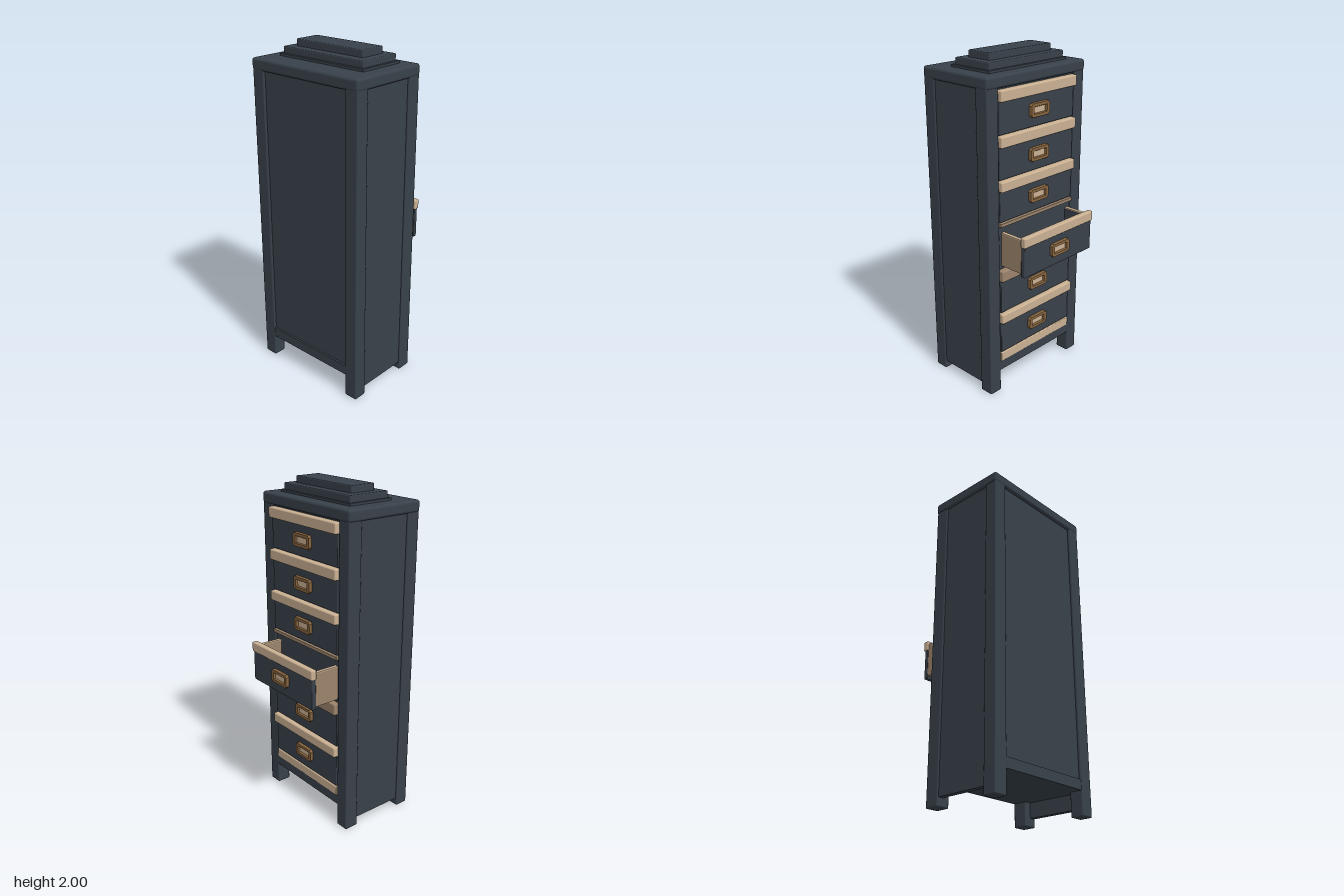
import * as THREE from 'three';
import { RoundedBoxGeometry } from 'three/addons/geometries/RoundedBoxGeometry.js';

const material = (name, color) => {
  const m = new THREE.MeshStandardMaterial({ color });
  m.name = name;
  return m;
};

export function createModel() {
  const navy = material('navy paint', 0x38414a);
  const tan = material('light wood', 0xcbb193);
  const umber = material('darker wood', 0x9c846c);
  const floorBrown = material('drawer floor brown', 0x6b5436);
  const bronze = material('bronze', 0x87653f);

  const root = new THREE.Group();
  root.name = 'drawerCabinet';

  // Box given by its min and max on each axis; r rounds the edges
  function box(parent, name, mat, [x0, x1], [y0, y1], [z0, z1], r = 0) {
    const w = x1 - x0, h = y1 - y0, d = z1 - z0;
    const g = r ? new RoundedBoxGeometry(w, h, d, 2, r) : new THREE.BoxGeometry(w, h, d);
    const m = new THREE.Mesh(g, mat);
    m.name = name;
    m.position.set((x0 + x1) / 2, (y0 + y1) / 2, (z0 + z1) / 2);
    parent.add(m);
    return m;
  }

  // Carcass: core, skirted side panels, corner posts, rails
  box(root, 'carcassCore', navy, [-0.33, 0.14], [0.14, 1.86], [-0.36, 0.36]);
  for (const s of [-1, 1]) {
    const side = (a, b) => (s > 0 ? [a, b] : [-b, -a]);
    box(root, 'sidePanel', navy, [-0.3, 0.1], [0.05, 1.86], side(0.345, 0.378));
    box(root, 'frontPost', navy, [0.065, 0.153], [0, 1.88], side(0.303, 0.387), 0.008);
    box(root, 'backPost', navy, [-0.345, -0.262], [0, 1.88], side(0.303, 0.387), 0.008);
  }
  box(root, 'frontBottomRail', navy, [0.1, 0.152], [0.14, 0.2], [-0.31, 0.31]);
  box(root, 'backBottomRail', navy, [-0.342, -0.3], [0.14, 0.2], [-0.31, 0.31]);

  // Top slab and stepped plinth
  box(root, 'topSlab', navy, [-0.348, 0.157], [1.84, 1.908], [-0.392, 0.39], 0.016);
  box(root, 'plinthBase', navy, [-0.21, 0.085], [1.9, 1.922], [-0.31, 0.305], 0.004);
  box(root, 'plinthMiddle', navy, [-0.193, 0.072], [1.9, 1.96], [-0.297, 0.29], 0.006);
  box(root, 'plinthTop', navy, [-0.14, 0.022], [1.93, 2], [-0.247, 0.24], 0.006);

  // Label-holder pull: bronze frame around a light plate
  const frame = new THREE.Shape();
  const [a, b, c] = [0.073, 0.038, 0.012];
  frame.moveTo(-a + c, -b).lineTo(a - c, -b).lineTo(a, -b + c).lineTo(a, b - c)
    .lineTo(a - c, b).lineTo(-a + c, b).lineTo(-a, b - c).lineTo(-a, -b + c).closePath();
  const hole = new THREE.Path();
  hole.moveTo(-0.052, -0.021).lineTo(-0.052, 0.021).lineTo(0.052, 0.021).lineTo(0.052, -0.021).closePath();
  frame.holes.push(hole);
  const frameGeo = new THREE.ExtrudeGeometry(frame, {
    depth: 0.016, bevelEnabled: true, bevelThickness: 0.003, bevelSize: 0.002, bevelSegments: 1,
  });
  function pull(parent, x, y) {
    const g = new THREE.Group();
    g.name = 'pull';
    const ring = new THREE.Mesh(frameGeo, bronze);
    ring.name = 'pullFrame';
    ring.rotation.y = Math.PI / 2;
    ring.position.set(x, y, 0);
    g.add(ring);
    box(g, 'pullPlate', tan, [x - 0.004, x + 0.005], [y - 0.022, y + 0.022], [-0.053, 0.053]);
    parent.add(g);
  }

  // Closed drawers: [bottom, strip bottom, strip top, pull height]
  const closed = [
    [1.59, 1.77, 1.832, 1.685],
    [1.338, 1.522, 1.585, 1.435],
    [1.092, 1.273, 1.333, 1.19],
    [0.525, 0.73, 0.8, 0.635],
    [0.26, 0.458, 0.52, 0.365],
  ];
  closed.forEach(([y0, s0, s1, h], i) => {
    const d = new THREE.Group();
    d.name = 'closedDrawer';
    box(d, 'drawerFace', navy, [0.1, 0.155], [y0, s0 + 0.01], [-0.299, 0.299], 0.005);
    box(d, 'drawerStrip', i === 3 ? umber : tan, [0.1, 0.177], [s0, s1], [-0.302, 0.305], 0.008);
    pull(d, 0.156, h);
    root.add(d);
  });
  box(root, 'bottomStrip', tan, [0.1, 0.156], [0.198, 0.255], [-0.3, 0.3], 0.005);
  box(root, 'middleStrip', umber, [0.1, 0.165], [1.066, 1.088], [-0.302, 0.302], 0.004);

  // Open drawer: floor, walls, front with its strip and pull
  const open = new THREE.Group();
  open.name = 'openDrawer';
  box(open, 'drawerFloor', floorBrown, [0.13, 0.3], [0.82, 0.836], [-0.27, 0.26]);
  for (const [z0, z1] of [[-0.288, -0.266], [0.256, 0.278]]) {
    box(open, 'drawerWall', umber, [0.13, 0.3], [0.82, 1.018], [z0, z1]);
    box(open, 'wallTopEdge', tan, [0.13, 0.3], [1.018, 1.024], [z0, z1]);
  }
  box(open, 'wallLining', navy, [0.141, 0.296], [0.837, 1.015], [-0.266, -0.263]);
  box(open, 'drawerFace', navy, [0.296, 0.324], [0.803, 1], [-0.29, 0.283], 0.005);
  box(open, 'drawerStrip', tan, [0.295, 0.332], [0.985, 1.045], [-0.296, 0.288], 0.008);
  pull(open, 0.325, 0.905);
  root.add(open);

  return root;
}
